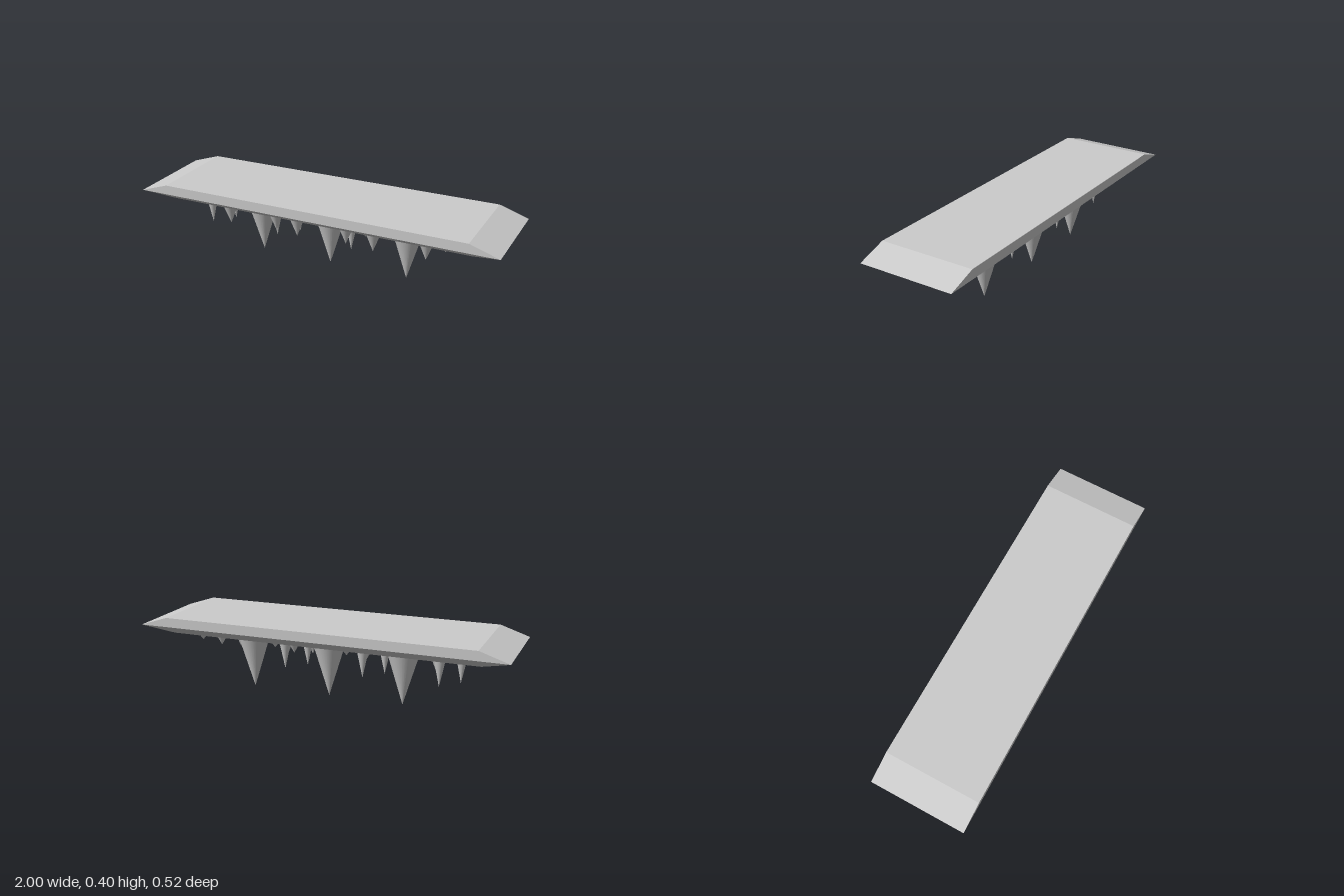
import * as THREE from 'three';

const material = new THREE.MeshStandardMaterial({ color: 0xcccccc });
const SLAB_BOTTOM = 0.3;

// Faceted solid from stacked rectangular rings, each [y, halfX, halfZ], bottom to top
function ringSolid(rings) {
  const positions = [];
  for (const [y, x, z] of rings) {
    positions.push(x, y, z, x, y, -z, -x, y, -z, -x, y, z);
  }
  const index = [0, 2, 1, 0, 3, 2];
  for (let r = 0; r < rings.length - 1; r++) {
    for (let i = 0; i < 4; i++) {
      const a = r * 4 + i, b = r * 4 + (i + 1) % 4;
      index.push(a, b, b + 4, a, b + 4, a + 4);
    }
  }
  const t = (rings.length - 1) * 4;
  index.push(t, t + 1, t + 2, t, t + 2, t + 3);
  const indexed = new THREE.BufferGeometry();
  indexed.setAttribute('position', new THREE.Float32BufferAttribute(positions, 3));
  indexed.setIndex(index);
  const geometry = indexed.toNonIndexed();
  geometry.computeVertexNormals();
  return geometry;
}

// Cone hanging point-down from the underside of the slab
function hangingCone(name, x, z, radius, length) {
  const geometry = new THREE.ConeGeometry(radius, length, 32);
  geometry.rotateX(Math.PI);
  const mesh = new THREE.Mesh(geometry, material);
  mesh.name = name;
  mesh.position.set(x, SLAB_BOTTOM - length / 2, z);
  return mesh;
}

export function createModel() {
  const model = new THREE.Group();
  model.name = 'hangingSpikePlatform';

  // Platform with wedge ends and undercut long sides
  const slab = new THREE.Mesh(ringSolid([
    [SLAB_BOTTOM, 0.845, 0.175],
    [0.352, 1, 0.26],
    [0.403, 0.845, 0.26],
  ]), material);
  slab.name = 'platform';
  model.add(slab);

  // Small spikes around each large one: [dx, z, radius, length]
  const smallSpikes = [
    [-0.29, 0.037, 0.035, 0.167],
    [-0.2, -0.06, 0.035, 0.167],
    [-0.155, 0.065, 0.053, 0.137],
    [0.14, 0.085, 0.046, 0.115],
    [0.215, 0.003, 0.052, 0.094],
    [0.305, -0.045, 0.046, 0.06],
  ];

  // The same cluster repeats three times along the platform
  for (const x of [-0.41, 0, 0.44]) {
    const cluster = new THREE.Group();
    cluster.name = 'spikeCluster';
    cluster.position.x = x;
    cluster.add(hangingCone('largeSpike', 0, -0.025, 0.09, SLAB_BOTTOM));
    for (const spike of smallSpikes) cluster.add(hangingCone('smallSpike', ...spike));
    model.add(cluster);
  }
  return model;
}
